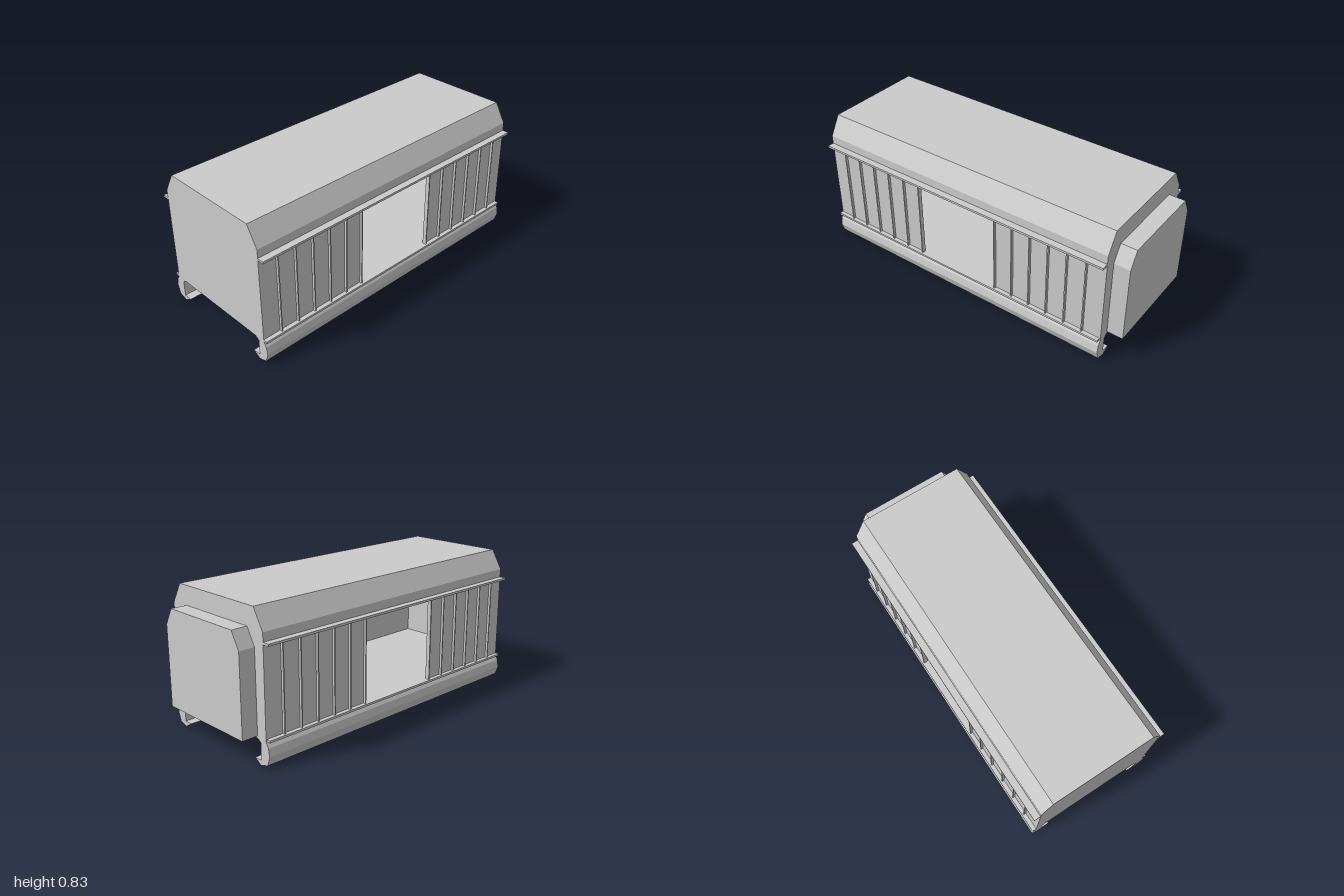
import * as THREE from 'three';

const FRONT = 1, BACK = -0.905;
const WALL_X = 0.38, FLOOR_Y = 0.145, SILL_Y = 0.158, HEAD_Y = 0.652;
const DOOR_FRONT = 0.313, DOOR_BACK = -0.214;

const material = new THREE.MeshStandardMaterial({ color: 0xcccccc, flatShading: true });

export function createModel() {
  const model = new THREE.Group();

  const add = (name, geometry) => {
    const mesh = new THREE.Mesh(geometry, material);
    mesh.name = name;
    model.add(mesh);
  };

  // Box given by its limits on each axis
  const box = (name, x0, x1, y0, y1, z0, z1) => {
    const g = new THREE.BoxGeometry(Math.abs(x1 - x0), y1 - y0, z1 - z0);
    add(name, g.translate((x0 + x1) / 2, (y0 + y1) / 2, (z0 + z1) / 2));
  };

  // Cross-section in x and y, swept from z0 to z1
  const sweep = (name, points, z0, z1) => {
    const shape = new THREE.Shape(points.map(([x, y]) => new THREE.Vector2(x, y)));
    const g = new THREE.ExtrudeGeometry(shape, { depth: z1 - z0, bevelEnabled: false });
    add(name, g.translate(0, 0, z0));
  };

  // Closed outline with the two top corners cut off
  const chamfered = (halfWidth, bottom, shoulder, topHalf, top) => [
    [-halfWidth, bottom], [halfWidth, bottom], [halfWidth, shoulder],
    [topHalf, top], [-topHalf, top], [-halfWidth, shoulder],
  ];

  // Hollow body: roof, floor and full-height end walls
  const t = 0.01;
  sweep('roof', chamfered(WALL_X, HEAD_Y, 0.715, 0.313, 0.83), BACK + t, FRONT - t);
  box('floor', -WALL_X, WALL_X, FLOOR_Y, SILL_Y, BACK + t, FRONT - t);
  const endProfile = chamfered(WALL_X, FLOOR_Y, 0.715, 0.313, 0.83);
  sweep('frontWall', endProfile, FRONT - t, FRONT);
  sweep('backWall', endProfile, BACK, BACK + t);

  // Raised block on the back wall
  sweep('backBlock', chamfered(0.313, 0.157, 0.625, 0.26, 0.72), -1, BACK);

  const hook = [
    [0.38, 0.145], [0.397, 0.115], [0.405, 0.07], [0.387, 0.018], [0.333, 0.002],
    [0.287, 0.031], [0.337, 0.033], [0.337, 0.128], [0.313, 0.145],
  ];

  for (const [side, s] of [['left', 1], ['right', -1]]) {
    // Thin wall panels either side of the open doorway
    for (const [end, z0, z1] of [['Front', DOOR_FRONT, FRONT - t], ['Back', BACK + t, DOOR_BACK]]) {
      box(`${side}${end}Panel`, s * (WALL_X - t), s * WALL_X, SILL_Y, HEAD_Y, z0, z1);
    }

    // Upright ribs, starting at the door edges
    for (let i = 0; i < 6; i++) {
      const zf = DOOR_FRONT + i * 0.1145, zb = DOOR_BACK - i * 0.1152;
      box(`${side}FrontRib`, s * WALL_X, s * 0.395, SILL_Y, HEAD_Y, zf, zf + 0.007);
      box(`${side}BackRib`, s * WALL_X, s * 0.395, SILL_Y, HEAD_Y, zb - 0.007, zb);
    }

    // Rails above and below the panels
    box(`${side}UpperRail`, s * WALL_X, s * 0.42, HEAD_Y, 0.665, BACK, FRONT);
    box(`${side}LowerRail`, s * WALL_X, s * 0.405, FLOOR_Y, SILL_Y, BACK + 0.006, FRONT);

    // Hooked runner under the floor edge
    sweep(`${side}Runner`, hook.map(([x, y]) => [s * x, y]), BACK, FRONT);
  }

  return model;
}
